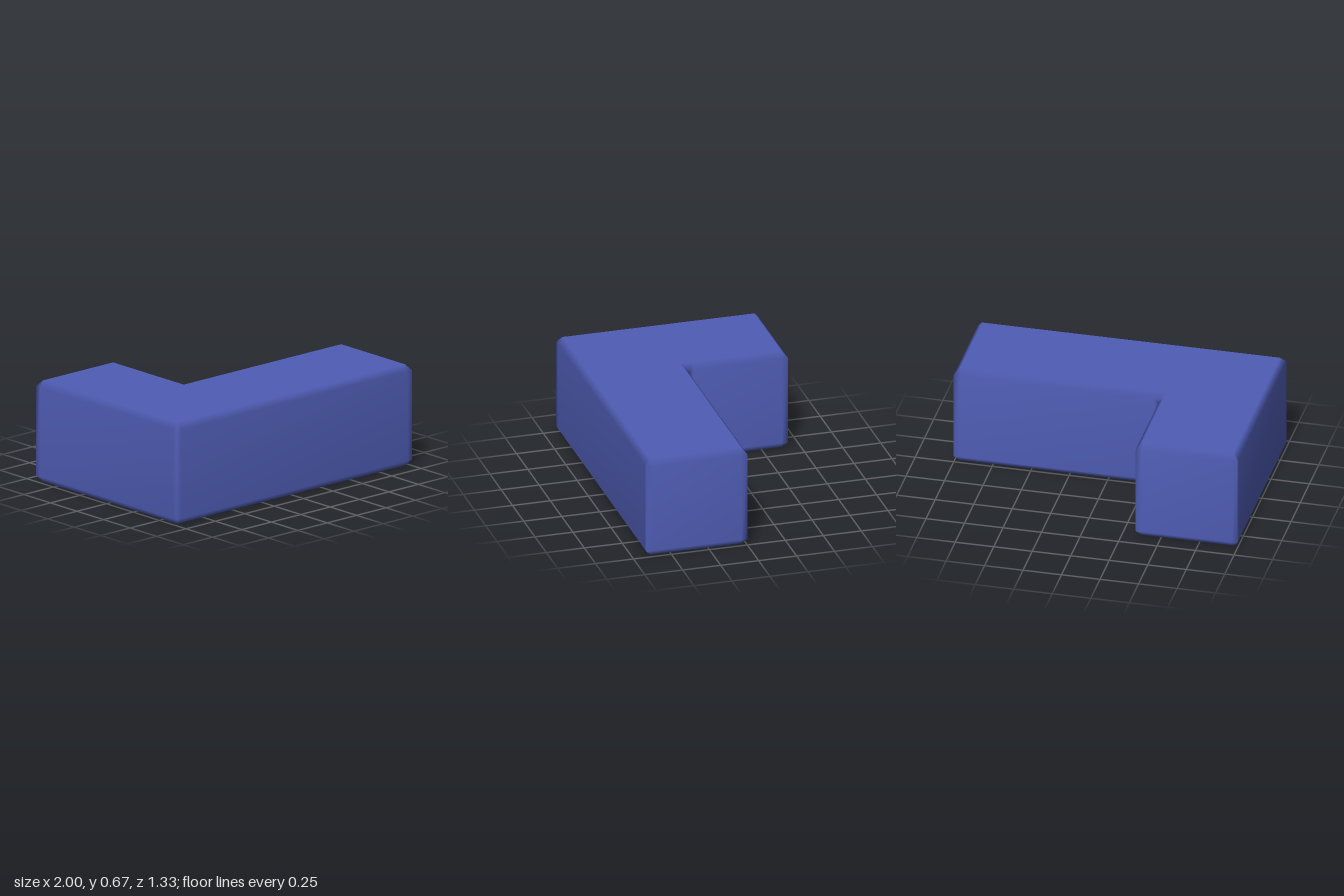
import * as THREE from 'three';

const HEIGHT = 0.667, BEVEL_H = 0.04, INSET = 0.033, EDGE = 0.04;

// L-shaped plan, counter-clockwise from above; second value points to the back (-z)
const PLAN = [[-1, -0.665], [1, -0.665], [1, 0], [-0.34, 0], [-0.34, 0.665], [-1, 0.665]]
  .map(([x, s]) => new THREE.Vector2(x, s));

// Three points per corner, on the wall outline and on the inset cap outline
function outlines() {
  const wall = [], cap = [];
  const n = PLAN.length;
  PLAN.forEach((c, i) => {
    const a = c.clone().sub(PLAN[(i + n - 1) % n]).normalize();
    const b = PLAN[(i + 1) % n].clone().sub(c).normalize();
    const na = new THREE.Vector2(-a.y, a.x).multiplyScalar(INSET);
    const nb = new THREE.Vector2(-b.y, b.x).multiplyScalar(INSET);
    const before = c.clone().addScaledVector(a, -EDGE);
    const after = c.clone().addScaledVector(b, EDGE);
    // the concave corner is cut off, the outer ones stay square
    const middle = a.cross(b) < 0 ? before.clone().lerp(after, 0.5) : c.clone();
    wall.push(before, middle, after);
    cap.push(before.clone().add(na), c.clone().add(na).add(nb), after.clone().add(nb));
  });
  return { wall, cap };
}

function blockGeometry() {
  const { wall, cap } = outlines();
  const n = wall.length;
  const rings = [[cap, 0], [wall, BEVEL_H], [wall, HEIGHT - BEVEL_H], [cap, HEIGHT]];
  const positions = [], index = [];
  for (const [ring, y] of rings) for (const p of ring) positions.push(p.x, y, -p.y);

  // bevels and walls
  for (let r = 0; r < 3; r++) {
    for (let i = 0; i < n; i++) {
      const j = (i + 1) % n, lo = r * n, hi = lo + n;
      index.push(lo + i, lo + j, hi + j, lo + i, hi + j, hi + i);
    }
  }
  // flat bottom and top
  for (const [a, b, c] of THREE.ShapeUtils.triangulateShape(cap, [])) {
    index.push(c, b, a, 3 * n + a, 3 * n + b, 3 * n + c);
  }

  const geometry = new THREE.BufferGeometry();
  geometry.setAttribute('position', new THREE.Float32BufferAttribute(positions, 3));
  geometry.setIndex(index);
  geometry.computeVertexNormals();
  // keep the caps evenly shaded
  for (let i = 0; i < n; i++) {
    geometry.attributes.normal.setXYZ(i, 0, -1, 0);
    geometry.attributes.normal.setXYZ(3 * n + i, 0, 1, 0);
  }
  return geometry;
}

export function createModel() {
  const group = new THREE.Group();
  group.name = 'cornerBlock';
  const block = new THREE.Mesh(blockGeometry(), new THREE.MeshStandardMaterial({ color: 0x4f5db5 }));
  block.name = 'bevelledLBlock';
  group.add(block);
  return group;
}
